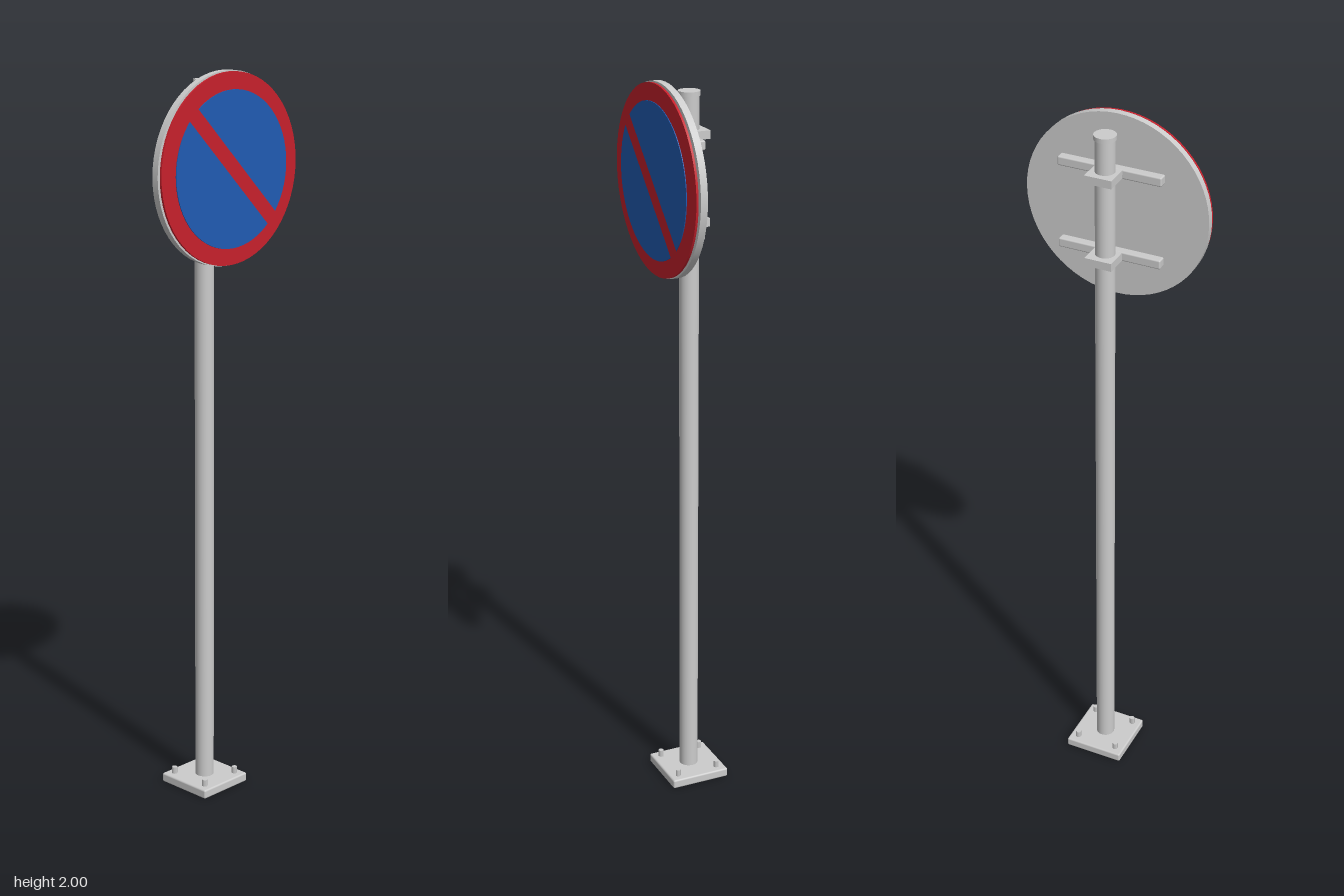
import * as THREE from 'three';
import { RoundedBoxGeometry } from 'three/addons/geometries/RoundedBoxGeometry.js';

const POLE_Z = -0.016;
const SIGN_Y = 1.75;

export function createModel() {
  const model = new THREE.Group();
  model.name = 'roadSign';
  const grey = new THREE.MeshStandardMaterial({ color: 0xcccccc });
  const red = new THREE.MeshStandardMaterial({ color: 0xc8202c, side: THREE.DoubleSide });
  const blue = new THREE.MeshStandardMaterial({ color: 0x205cb4 });

  const add = (name, geometry, material, x, y, z) => {
    const mesh = new THREE.Mesh(geometry, material);
    mesh.name = name;
    mesh.position.set(x, y, z);
    model.add(mesh);
    return mesh;
  };
  // Disc facing forward, between two depths
  const disc = (name, radius, z0, z1, material) => {
    const geometry = new THREE.CylinderGeometry(radius, radius, z1 - z0, 64).rotateX(Math.PI / 2);
    add(name, geometry, material, 0, SIGN_Y, (z0 + z1) / 2);
  };

  // Base plate with four hexagonal anchor bolts
  add('basePlate', new RoundedBoxGeometry(0.17, 0.026, 0.17, 2, 0.005), grey, 0, 0.013, POLE_Z);
  for (const sx of [-1, 1]) {
    for (const sz of [-1, 1]) {
      add('anchorBolt', new THREE.CylinderGeometry(0.008, 0.008, 0.022, 6), grey,
        sx * 0.06, 0.034, POLE_Z + sz * 0.06);
    }
  }

  // Pole and its slightly wider cap
  add('pole', new THREE.CylinderGeometry(0.026, 0.026, 1.945, 32), grey, 0, 0.9925, POLE_Z);
  add('poleCap', new THREE.CylinderGeometry(0.029, 0.029, 0.012, 32), grey, 0, 1.969, POLE_Z);

  // Clamps around the pole, each carrying a horizontal rail
  for (const y of [1.635, 1.865]) {
    add('clamp', new THREE.BoxGeometry(0.074, 0.022, 0.086), grey, 0, y, POLE_Z);
    add('rail', new RoundedBoxGeometry(0.284, 0.025, 0.025, 2, 0.004), grey, 0, y, 0.0165);
  }

  // Layered sign face
  disc('signBacking', 0.2525, 0.05, 0.069, grey);
  disc('redBorder', 0.25, 0.074, 0.08, red);
  disc('blueField', 0.205, 0.085, 0.087, blue);

  // Diagonal bar from upper left to lower right
  const bar = add('diagonalBar', new THREE.PlaneGeometry(0.437, 0.042), red, 0, SIGN_Y, 0.0975);
  bar.rotation.z = -Math.PI / 4;

  return model;
}
